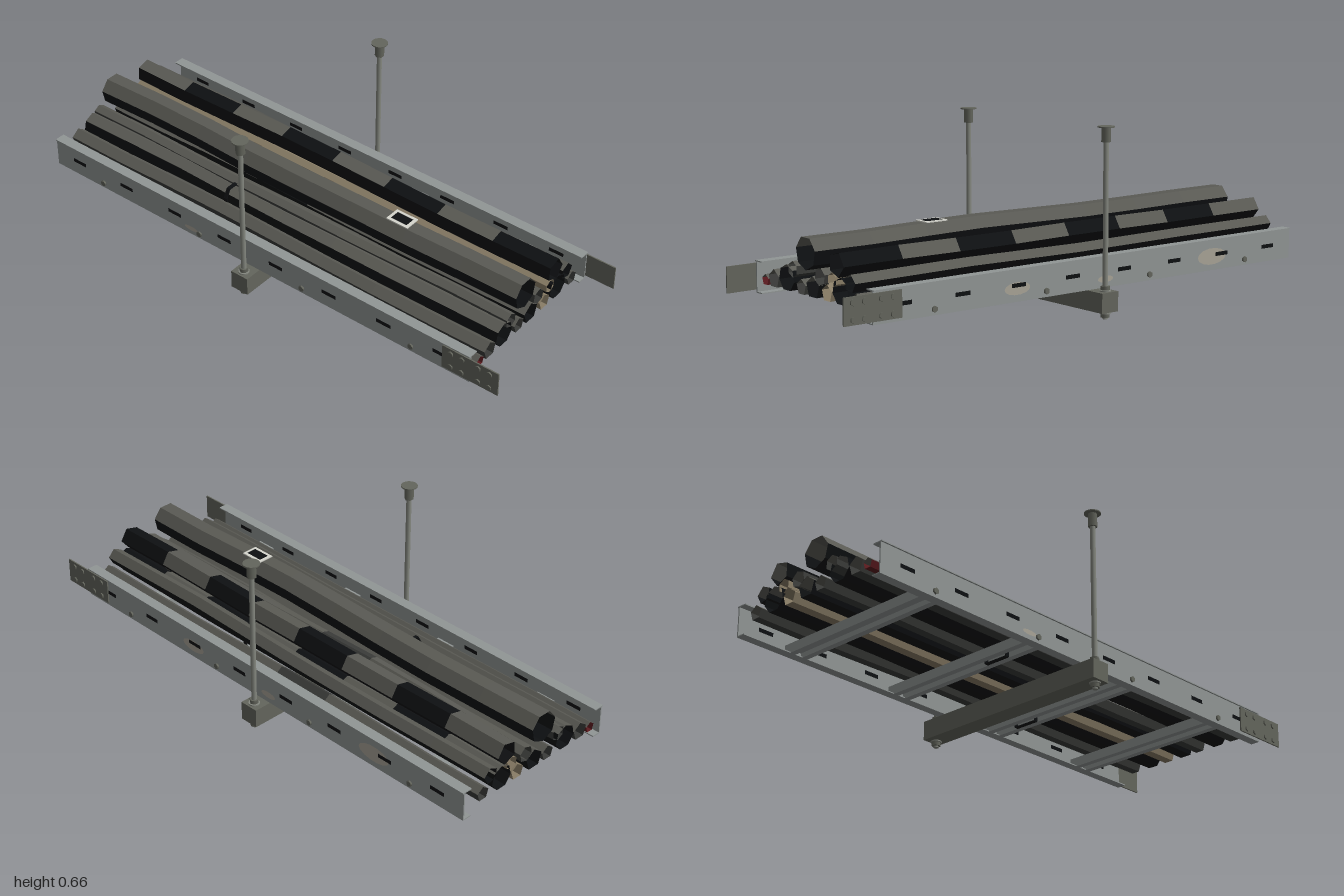
import * as THREE from 'three';

const mat = (name, color, extra = {}) => {
  const m = new THREE.MeshStandardMaterial({ color, ...extra });
  m.name = name;
  return m;
};
const DS = { side: THREE.DoubleSide, flatShading: true };
const M = {
  galvanised: mat('galvanised', 0x919695),
  steel: mat('dark steel', 0x64665d),
  rod: mat('rod steel', 0x858880),
  black: mat('black rubber', 0x0e1012, DS),
  grey: mat('grey rubber', 0x3a3b39, DS),
  dust: mat('dusty top', 0x5a5a54, DS),
  tan: mat('tan sheath', 0x8a7e67, DS),
  red: mat('dark red sheath', 0x5c1b1f, DS),
  patch: mat('pale stain', 0xaaa598, { side: THREE.DoubleSide }),
  tag: mat('tag white', 0xd6d6ce),
};

const X0 = -1, X1 = 0.885, SEG = 8, LEN = X1 - X0, MID = (X0 + X1) / 2;
const RUNGS = [-0.765, -0.295, 0.175, 0.645];
const ROD_X = -0.057;

function add(parent, name, geo, material, x = 0, y = 0, z = 0) {
  const m = new THREE.Mesh(geo, material);
  m.name = name;
  m.position.set(x, y, z);
  parent.add(m);
  return m;
}
const box = (p, name, material, w, h, d, x, y, z) =>
  add(p, name, new THREE.BoxGeometry(w, h, d), material, x, y, z);
const cyl = (p, name, material, r, h, n, x, y, z) =>
  add(p, name, new THREE.CylinderGeometry(r, r, h, n), material, x, y, z);

// Open faceted tube that wanders slightly; its upward faces carry dust
function cable(parent, [z, y, r, sides, turn, base, phase, amp, bare]) {
  const ring = i => {
    const t = i / SEG, fade = Math.sin(Math.PI * t);
    const cz = z + amp * (Math.sin(t * 7 + phase) * fade + 0.3 * Math.sin(t * 13 + phase) * fade);
    const cy = y + amp * 0.3 * Math.sin(t * 11 + phase * 2) * fade;
    return Array.from({ length: sides }, (_, j) => {
      const a = Math.PI / 2 + turn + (j / sides) * Math.PI * 2;
      return [X0 + LEN * t, cy + r * Math.sin(a), cz + r * Math.cos(a)];
    });
  };
  const clean = [], dusty = [];
  for (let i = 0; i < SEG; i++) {
    const a = ring(i), b = ring(i + 1);
    for (let j = 0; j < sides; j++) {
      const k = (j + 1) % sides;
      const up = Math.sin(Math.PI / 2 + turn + ((j + 0.5) / sides) * Math.PI * 2);
      const list = up > 0.45 && bare !== 'all' && !bare.includes(i) ? dusty : clean;
      list.push(...a[j], ...b[j], ...b[k], ...a[j], ...b[k], ...a[k]);
    }
  }
  const geo = new THREE.BufferGeometry();
  geo.setAttribute('position', new THREE.Float32BufferAttribute([...clean, ...dusty], 3));
  geo.addGroup(0, clean.length / 3, 0);
  geo.addGroup(clean.length / 3, dusty.length / 3, 1);
  geo.computeVertexNormals();
  add(parent, 'cable', geo, [base, M.dust]);
}

// Side rail with flanges, slots, bolts and splice plate; s is the side of z
function rail(parent, s) {
  const g = new THREE.Group();
  g.name = s > 0 ? 'frontRail' : 'backRail';
  parent.add(g);
  box(g, 'web', M.galvanised, LEN, 0.108, 0.005, MID, 0.156, s * 0.338);
  box(g, 'topFlange', M.galvanised, LEN, 0.004, 0.04, MID, 0.21, s * 0.326);
  box(g, 'bottomFlange', M.galvanised, LEN, 0.004, 0.035, MID, 0.102, s * 0.323);
  for (let i = 0; i < 8; i++)
    box(g, 'slot', M.black, 0.06, 0.014, 0.007, -0.885 + i * 0.2356, 0.156, s * 0.338);
  const bolt = (x, y, z) =>
    cyl(g, 'bolt', M.steel, 0.011, 0.008, 6, x, y, s * z).rotation.x = Math.PI / 2;
  RUNGS.forEach(x => bolt(x, 0.121, 0.343));
  box(g, 'splicePlate', M.steel, 0.225, 0.092, 0.005, 0.8875, 0.157, s * 0.3435);
  for (const x of [0.81, 0.855, 0.92, 0.965]) for (const y of [0.128, 0.184]) bolt(x, y, 0.347);
}

// Hexagonal-headed hanger rod through the strut end
function hanger(parent, z) {
  const g = new THREE.Group();
  g.name = 'hanger';
  g.position.set(ROD_X, 0, z);
  parent.add(g);
  cyl(g, 'rod', M.rod, 0.0095, 0.66, 10, 0, 0.33, 0);
  cyl(g, 'coupler', M.steel, 0.017, 0.052, 6, 0, 0.635, 0);
  cyl(g, 'ceilingPlate', M.steel, 0.03, 0.004, 16, 0, 0.661, 0);
  for (const [washer, nut] of [[0.0985, 0.108], [0.0215, 0.013]]) {
    cyl(g, 'washer', M.rod, 0.02, 0.004, 14, 0, washer, 0);
    cyl(g, 'nut', M.steel, 0.016, 0.014, 6, 0, nut, 0);
  }
}

export function createModel() {
  const model = new THREE.Group();
  model.name = 'cableTray';

  for (const s of [1, -1]) {
    rail(model, s);
    hanger(model, s * 0.377);
  }

  // Rungs: channels open at the bottom
  for (const x of RUNGS) {
    const g = new THREE.Group();
    g.name = 'rung';
    model.add(g);
    box(g, 'rungTop', M.galvanised, 0.075, 0.005, 0.67, x, 0.1325, 0);
    for (const s of [-1, 1]) {
      box(g, 'rungSide', M.galvanised, 0.005, 0.033, 0.67, x + s * 0.035, 0.1165, 0);
      box(g, 'rungLip', M.galvanised, 0.022, 0.004, 0.67, x + s * 0.0265, 0.102, 0);
    }
  }

  // Trapeze strut carrying the tray
  box(model, 'strut', M.steel, 0.073, 0.07, 0.806, ROD_X, 0.061, 0);

  // Cables: z, y, radius, sides, turn, sheath, phase, sway, segments without dust
  const P5 = Math.PI / 5, P7 = Math.PI / 7;
  [
    [0.283, 0.153, 0.020, 5, 0, M.red, 0.4, 0.004, []],
    [0.230, 0.164, 0.033, 5, 0, M.grey, 1.9, 0.007, []],
    [0.152, 0.179, 0.046, 7, 0, M.black, 3.1, 0.008, []],
    [0.115, 0.213, 0.028, 6, 0, M.grey, 4.4, 0.009, []],
    [0.065, 0.160, 0.028, 5, 0, M.grey, 0.9, 0.007, []],
    [-0.003, 0.169, 0.039, 5, 0, M.black, 2.3, 0.009, [3]],
    [-0.045, 0.211, 0.030, 6, 0.2, M.grey, 5.2, 0.009, [3]],
    [-0.085, 0.162, 0.030, 5, 0, M.tan, 1.2, 0.007, 'all'],
    [-0.115, 0.211, 0.025, 6, 0, M.tan, 3.7, 0.007, 'all'],
    [-0.162, 0.179, 0.046, 7, 0, M.black, 0.2, 0.007, [1, 3, 5, 7]],
    [-0.215, 0.214, 0.031, 5, 0.2, M.black, 2.7, 0.009, []],
    [-0.250, 0.160, 0.027, 5, 0, M.grey, 4.9, 0.007, [3]],
    [0.037, 0.278, 0.057, 7, P7, M.black, 3.5, 0.012, []],
    [-0.140, 0.265, 0.043, 5, P5 - 0.25, M.black, 1.6, 0.007, [1, 3, 5, 7]],
  ].forEach(c => cable(model, c));

  // Straps holding the two thick cables to the rungs
  for (const [x, z] of [[-0.295, 0.152], [0.175, -0.158]]) {
    const g = new THREE.Group();
    g.name = 'strap';
    model.add(g);
    for (const s of [-1, 1]) box(g, 'strapSide', M.black, 0.014, 0.1, 0.004, x, 0.147, z + s * 0.047);
    box(g, 'strapTop', M.black, 0.014, 0.004, 0.06, x, 0.228, z);
    for (const s of [-1, 1])
      box(g, 'strapShoulder', M.black, 0.014, 0.004, 0.038, x, 0.213, z + s * 0.038).rotation.x = s * 1.05;
    box(g, 'strapBase', M.black, 0.014, 0.004, 0.094, x, 0.097, z);
  }

  // Tag lying on the top cable
  box(model, 'tag', M.tag, 0.09, 0.004, 0.062, 0.37, 0.334, 0.037);
  box(model, 'tagPanel', M.black, 0.066, 0.002, 0.038, 0.37, 0.336, 0.037);

  // Pale stains on the rails: side, x, y, half width, half height
  [
    [1, -0.335, 0.125, 0.032, 0.009],
    [-1, 0.3, 0.145, 0.055, 0.022],
    [-1, -0.09, 0.13, 0.035, 0.012],
    [-1, -0.6, 0.15, 0.07, 0.03],
  ].forEach(([s, x, y, w, h]) => {
    const m = add(model, 'stain', new THREE.CircleGeometry(1, 14), M.patch, x, y, s * 0.3412);
    m.scale.set(w, h, 1);
    if (s < 0) m.rotation.y = Math.PI;
  });

  return model;
}
